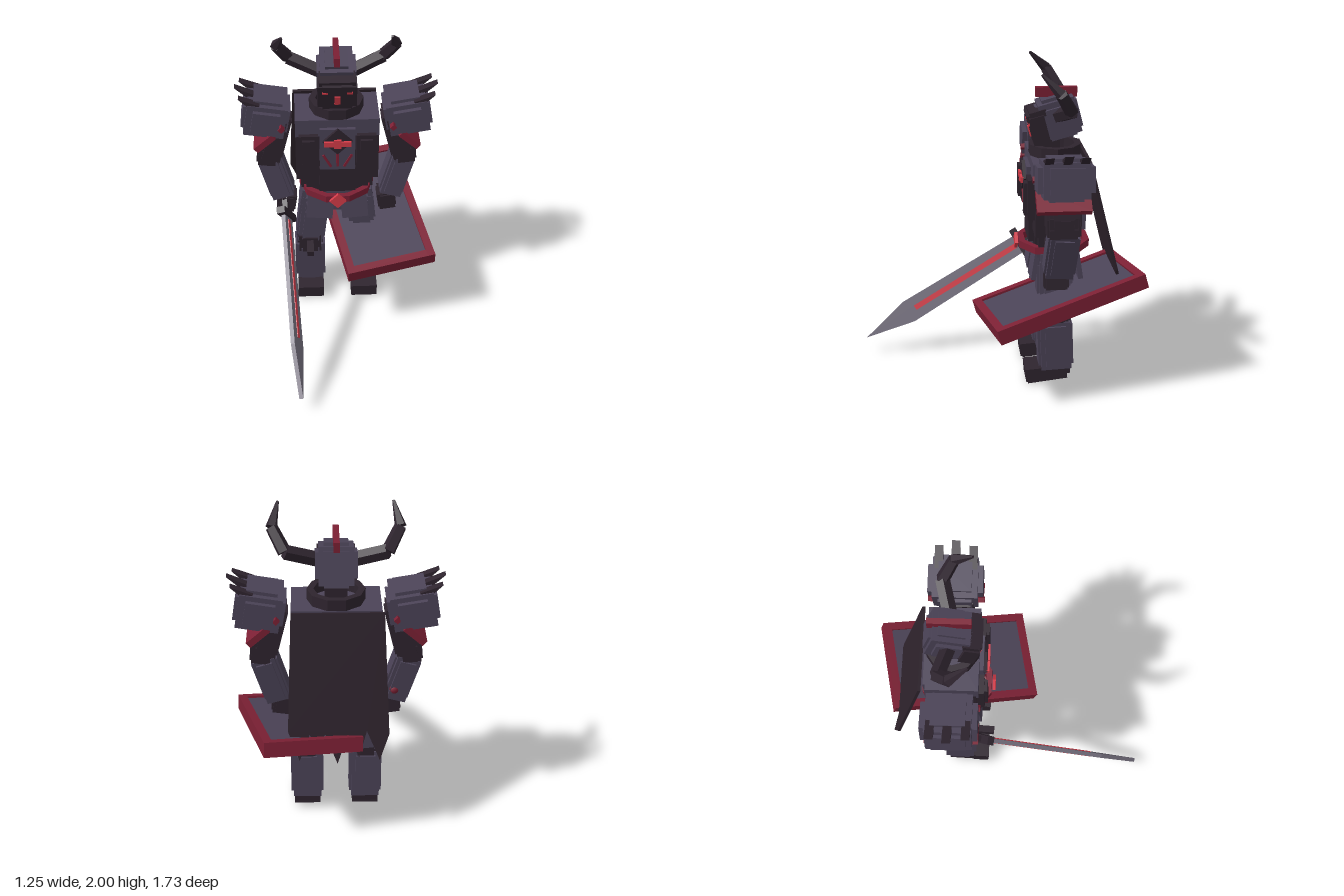
import * as THREE from 'three';

const mat = (name, color) => {
  const m = new THREE.MeshStandardMaterial({ color });
  m.name = name;
  return m;
};
const V = (x, y, z) => new THREE.Vector3(x, y, z);

export function createModel() {
  const steel = mat('steel', 0x4b4357), dark = mat('dark iron', 0x2e242e), red = mat('crimson', 0x7c2034);
  const bright = mat('bright red', 0xd63c49), bladeMat = mat('blade grey', 0x76717f);
  const under = mat('shield dark', 0x332c38), cloth = mat('cape cloth', 0x2d222b);
  cloth.side = THREE.DoubleSide;
  const root = new THREE.Group();
  const Z = -0.34; // depth of the body's middle

  const add = (parent, name, geo, material, p = [0, 0, 0], r = [0, 0, 0]) => {
    const m = new THREE.Mesh(geo, material);
    m.name = name;
    m.position.set(...p);
    m.rotation.set(...r);
    parent.add(m);
    return m;
  };
  const box = (parent, name, material, s, p, r) => add(parent, name, new THREE.BoxGeometry(...s), material, p, r);
  const group = (name, parent = root) => {
    const g = new THREE.Group();
    g.name = name;
    parent.add(g);
    return g;
  };
  // Box with stepped plates on its faces
  const plated = (parent, name, material, [w, h, d], p, r = [0, 0, 0]) => {
    const g = group(name, parent);
    g.position.set(...p);
    g.rotation.set(...r);
    box(g, 'core', material, [w * 0.86, h, d * 0.86]);
    box(g, 'frontPlate', material, [w * 0.6, h * 0.86, d]);
    box(g, 'sidePlate', material, [w, h * 0.86, d * 0.6]);
    return g;
  };
  // Plated limb running from a to b
  const limb = (parent, name, material, a, b, w, d) => {
    const dir = b.clone().sub(a), mid = a.clone().add(b).multiplyScalar(0.5);
    const g = plated(parent, name, material, [w, dir.length(), d], mid.toArray());
    g.quaternion.setFromUnitVectors(V(0, 1, 0), dir.normalize());
    return g;
  };
  // Tapered strut running from a to b
  const strut = (parent, name, material, a, b, r0, r1, sides = 5) => {
    const dir = b.clone().sub(a), mid = a.clone().add(b).multiplyScalar(0.5);
    const geo = new THREE.CylinderGeometry(r1, r0, dir.length(), sides).toNonIndexed();
    geo.computeVertexNormals();
    const m = add(parent, name, geo, material, mid.toArray());
    m.quaternion.setFromUnitVectors(V(0, 1, 0), dir.normalize());
    return m;
  };
  // Faceted band with a rectangular section
  const ring = (name, material, inner, outer, h, y, sx, sz) => {
    const pts = [[inner, -h / 2], [outer, -h / 2], [outer, h / 2], [inner, h / 2], [inner, -h / 2]];
    const geo = new THREE.LatheGeometry(pts.map((p) => new THREE.Vector2(...p)), 10, Math.PI / 10).toNonIndexed();
    geo.computeVertexNormals();
    return add(root, name, geo, material, [0, y, Z]).scale.set(sx, 1, sz);
  };
  const extrude = (pts, depth) => {
    const geo = new THREE.ExtrudeGeometry(new THREE.Shape(pts.map((p) => new THREE.Vector2(...p))),
      { depth, bevelEnabled: false });
    return geo.translate(0, 0, -depth / 2);
  };

  // Torso
  const torso = group('torso');
  plated(torso, 'waist', dark, [0.46, 0.28, 0.26], [0, 1.0, Z]);
  box(torso, 'chest', dark, [0.52, 0.36, 0.28], [0, 1.17, Z]);
  box(torso, 'upperChest', steel, [0.52, 0.12, 0.31], [0, 1.385, Z]);
  box(torso, 'backPlate', steel, [0.44, 0.4, 0.06], [0, 1.22, -0.48]);
  box(torso, 'breastPlate', steel, [0.22, 0.3, 0.06], [0, 1.24, -0.19]);
  box(torso, 'bellyPlate', dark, [0.23, 0.18, 0.05], [0, 1.0, -0.2]);
  for (const s of [-1, 1]) {
    box(torso, 'sidePanel', dark, [0.12, 0.25, 0.05], [s * 0.18, 1.22, -0.18]);
    box(torso, 'sidePanelInset', dark, [0.075, 0.2, 0.03], [s * 0.18, 1.22, -0.15]);
    box(torso, 'chestMark', red, [0.014, 0.1, 0.01], [s * 0.065, 1.16, -0.156], [0, 0, -s * 0.5]);
  }
  box(torso, 'chestMark', red, [0.016, 0.12, 0.01], [0, 1.18, -0.156]);
  box(torso, 'chestDiamond', dark, [0.13, 0.13, 0.02], [0, 1.31, -0.15], [0, 0, Math.PI / 4]);
  box(torso, 'crossBar', bright, [0.17, 0.035, 0.02], [0, 1.3, -0.137]);
  box(torso, 'crossPost', bright, [0.045, 0.06, 0.02], [0, 1.3, -0.136]);
  ring('collar', dark, 0.13, 0.17, 0.075, 1.475, 1, 0.95);
  box(torso, 'neck', dark, [0.13, 0.2, 0.11], [0, 1.51, -0.31]);

  // Belt, hips and tassets
  ring('belt', red, 0.2, 0.24, 0.045, 0.88, 1, 0.95);
  box(root, 'buckle', bright, [0.075, 0.075, 0.02], [0, 0.88, -0.108], [0, 0, Math.PI / 4]);
  box(root, 'hips', steel, [0.38, 0.16, 0.24], [0, 0.8, Z]);
  for (const s of [-1, 1]) {
    box(root, 'frontTasset', steel, [0.17, 0.18, 0.03], [s * 0.11, 0.77, -0.21], [-0.15, 0, s * 0.08]);
    box(root, 'backTasset', steel, [0.17, 0.18, 0.03], [s * 0.11, 0.77, -0.48], [0.15, 0, s * 0.08]);
    box(root, 'sideTasset', steel, [0.03, 0.17, 0.2], [s * 0.22, 0.78, Z], [0, 0, s * 0.15]);
  }

  for (const s of [-1, 1]) {
    // Leg
    const leg = group(s < 0 ? 'rightLeg' : 'leftLeg'), x = s * 0.18;
    limb(leg, 'thigh', steel, V(x, 0.44, -0.33), V(s * 0.14, 0.8, -0.33), 0.19, 0.22);
    plated(leg, 'knee', dark, [0.17, 0.13, 0.22], [x, 0.43, -0.32]);
    box(leg, 'kneeSpike', dark, [0.045, 0.04, 0.12], [x, 0.445, -0.17], [0.15, 0, 0]);
    limb(leg, 'shin', steel, V(x, 0.1, -0.345), V(x, 0.42, -0.33), 0.2, 0.22);
    box(leg, 'foot', dark, [0.16, 0.09, 0.25], [x, 0.065, -0.285], [0.12, 0, 0]);
    box(leg, 'toeCap', dark, [0.175, 0.085, 0.1], [x, 0.065, -0.2], [0.08, 0, 0]);
    box(leg, 'ankle', dark, [0.15, 0.07, 0.14], [x, 0.1, -0.36]);

    // Arm
    const arm = group(s < 0 ? 'rightArm' : 'leftArm');
    limb(arm, 'upperArm', dark, V(s * 0.43, 1.1, -0.34), V(s * 0.35, 1.42, Z), 0.16, 0.2);
    plated(arm, 'elbow', dark, [0.15, 0.12, 0.19], [s * 0.43, 1.12, -0.34], [0, 0, s * 0.1]);
    limb(arm, 'forearm', steel, V(s * 0.345, 0.8, -0.33), V(s * 0.43, 1.09, -0.35), 0.16, 0.19);
    plated(arm, 'hand', dark, [0.12, 0.12, 0.15], [s * 0.325, 0.75, -0.32], [0, 0, s * 0.15]);

    // Shoulder armour
    const sh = group(s < 0 ? 'rightPauldron' : 'leftPauldron');
    sh.position.set(s * 0.44, 1.42, -0.345);
    sh.rotation.z = s * 0.17;
    box(sh, 'shell', steel, [0.25, 0.21, 0.27]);
    box(sh, 'frontPlate', steel, [0.17, 0.15, 0.33]);
    box(sh, 'sidePlate', steel, [0.29, 0.15, 0.2]);
    box(sh, 'topPlate', steel, [0.18, 0.25, 0.2]);
    box(root, 'pauldronTrim', red, [0.15, 0.04, 0.32], [s * 0.45, 1.28, Z], [0, 0, -s * 0.72]);
    box(root, 'pauldronStud', red, [0.03, 0.03, 0.34], [s * 0.345, 1.385, Z], [0, 0, Math.PI / 4]);
    for (const [z, len] of [[-0.445, 0.135], [-0.345, 0.165], [-0.24, 0.135]]) {
      const geo = extrude([[-0.028, 0], [0.028, 0], [0, len]], 0.05);
      add(root, 'shoulderSpike', geo, dark, [s * 0.485, 1.515, z], [0, 0, -s * 1.0]);
    }

    // Horn
    const path = [V(s * 0.1, 1.7, -0.35), V(s * 0.29, 1.77, -0.4), V(s * 0.36, 1.89, -0.33), V(s * 0.325, 2.0, -0.22)];
    const radii = [0.045, 0.042, 0.035, 0.008];
    for (let i = 0; i < 3; i++) strut(root, 'horn', dark, path[i], path[i + 1], radii[i], radii[i + 1] * 1.05);
  }

  // Helmet
  const head = group('helmet');
  head.position.set(0, 1.68, -0.36);
  head.rotation.x = 0.27;
  box(head, 'skull', steel, [0.2, 0.22, 0.22]);
  box(head, 'crown', steel, [0.14, 0.26, 0.16]);
  box(head, 'cheeks', steel, [0.24, 0.15, 0.15]);
  box(head, 'backPlate', steel, [0.15, 0.17, 0.25]);
  box(head, 'visor', dark, [0.24, 0.17, 0.09], [0, -0.03, 0.135]);
  box(head, 'visorFront', dark, [0.18, 0.2, 0.05], [0, -0.035, 0.165]);
  box(head, 'brow', dark, [0.22, 0.04, 0.1], [0, 0.065, 0.12]);
  box(head, 'noseSlit', bright, [0.036, 0.065, 0.012], [0, -0.045, 0.192]);
  for (const s of [-1, 1]) box(head, 'eye', bright, [0.036, 0.016, 0.01], [s * 0.075, 0.015, 0.188]);
  box(root, 'crest', red, [0.035, 0.06, 0.25], [0, 1.825, -0.345]);

  // Ragged cape hanging from the shoulders
  const cape = extrude([[-0.27, 0], [-0.3, -0.72], [-0.245, -0.88], [-0.17, -0.7], [-0.125, -0.86], [-0.06, -0.72],
    [0.0, -0.9], [0.07, -0.72], [0.13, -0.8], [0.16, -0.72], [0.22, -0.88], [0.285, -0.7], [0.26, 0]], 0.018);
  add(root, 'cape', cape, cloth, [0, 1.45, -0.525], [0.25, 0, 0]);

  // Sword, built along its own y axis
  const sword = group('sword');
  const along = V(0.065, -0.62, 1.03).normalize(), across = V(-0.07, 0.16, 0.105);
  across.addScaledVector(along, -across.dot(along)).normalize();
  sword.quaternion.setFromRotationMatrix(new THREE.Matrix4().makeBasis(across, along, across.clone().cross(along)));
  sword.position.set(-0.33, 0.73, -0.17);
  const blade = extrude([[0.062, 0], [0.075, 0.87], [0, 1.2], [-0.075, 0.87], [-0.062, 0]], 0.026);
  add(sword, 'blade', blade, bladeMat);
  box(sword, 'fuller', bright, [0.034, 0.78, 0.034], [0, 0.43, 0]);
  box(sword, 'guard', dark, [0.21, 0.045, 0.055]);
  box(sword, 'grip', dark, [0.035, 0.26, 0.035], [0, -0.13, 0]);
  add(sword, 'pommel', new THREE.IcosahedronGeometry(0.032, 1), red, [0, -0.28, 0]);

  // Shield, lying tilted beside the left leg
  const shield = group('shield');
  const sx = V(0.565, 0.045, -0.115).normalize(), sz = V(0.19, -0.25, 0.91);
  sz.addScaledVector(sx, -sz.dot(sx)).normalize();
  shield.quaternion.setFromRotationMatrix(new THREE.Matrix4().makeBasis(sx, sz.clone().cross(sx), sz));
  shield.position.set(0.238, 0.607, -0.35);
  const W = 0.58, L = 0.96, rim = 0.05, T = 0.09;
  for (const s of [-1, 1]) {
    box(shield, 'sideRim', red, [rim, T, L], [s * (W - rim) / 2, 0, 0]);
    box(shield, 'endRim', red, [W - rim * 2, T, rim], [0, 0, s * (L - rim) / 2]);
  }
  box(shield, 'innerPanel', steel, [W - rim * 2, 0.03, L - rim * 2], [0, 0.017, 0]);
  box(shield, 'outerPanel', under, [W - rim * 2, 0.03, L - rim * 2], [0, -0.017, 0]);
  box(shield, 'boss', bright, [0.13, 0.025, 0.13], [0, -0.042, 0]);

  return root;
}
